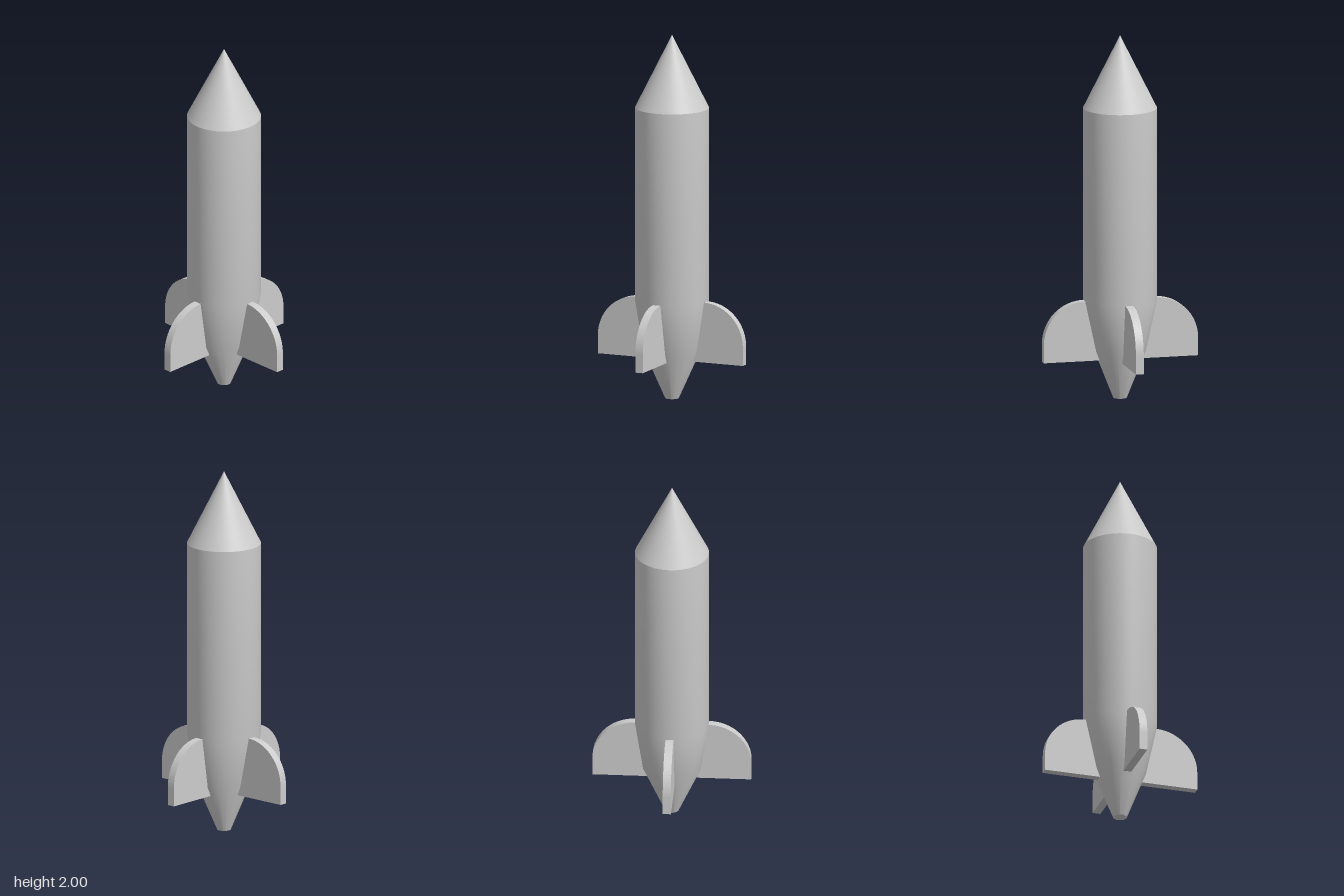
import * as THREE from 'three';
import { toCreasedNormals } from 'three/addons/utils/BufferGeometryUtils.js';

export function createModel() {
  const rocket = new THREE.Group();
  rocket.name = 'rocket';
  const grey = new THREE.MeshStandardMaterial({ color: 0xcccccc });
  grey.name = 'lightGrey';

  // Hull: tail cap, two tapering tail sections, straight tube and nose cone
  const waistY = 0.265;
  const profile = [
    [0, 0], [0.037, 0], [0.149, waistY], [0.2, 0.54], [0.2, 1.6], [0, 2],
  ].map(([r, y]) => new THREE.Vector2(r, y));
  const hullGeometry = new THREE.LatheGeometry(profile, 72);

  // The tail's waist is slightly narrower across x than along z
  const pos = hullGeometry.attributes.position;
  for (let i = 0; i < pos.count; i++) {
    if (Math.abs(pos.getY(i) - waistY) < 0.001) {
      pos.setX(i, pos.getX(i) * 0.94);
      pos.setZ(i, pos.getZ(i) * 1.06);
    }
  }
  const hull = new THREE.Mesh(toCreasedNormals(hullGeometry, 0.35), grey);
  hull.name = 'hull';
  rocket.add(hull);

  // Fin outline: flat foot, upright outer edge and rounded shoulder
  const outline = new THREE.Shape();
  outline.moveTo(0.08, 0.215);
  outline.lineTo(0.43, 0.215);
  outline.lineTo(0.43, 0.315);
  outline.absellipse(0.2, 0.315, 0.23, 0.23, 0, Math.PI / 2, false, 0);
  outline.lineTo(0.18, 0.545);
  outline.closePath();
  const thickness = 0.044;
  const finShape = new THREE.ExtrudeGeometry(outline, {
    depth: thickness, bevelEnabled: false, curveSegments: 24,
  });
  finShape.translate(0, 0, -thickness / 2);
  const finGeometry = toCreasedNormals(finShape, 0.5);

  // Four fins around the tail
  ['leftFin', 'backFin', 'rightFin', 'frontFin'].forEach((name, i) => {
    const fin = new THREE.Mesh(finGeometry, grey);
    fin.name = name;
    fin.rotation.y = (i * Math.PI) / 2;
    rocket.add(fin);
  });

  return rocket;
}
